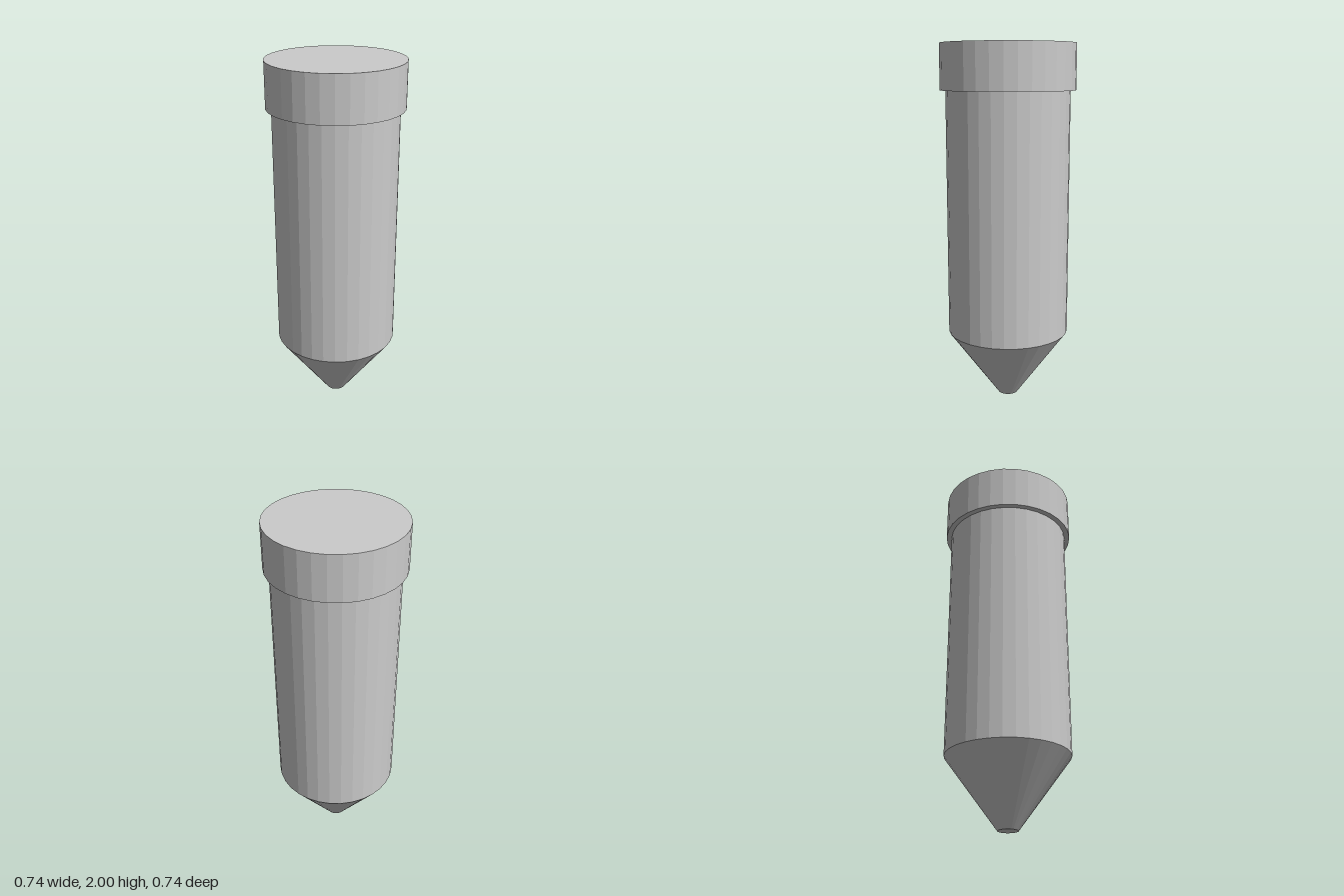
import * as THREE from 'three';

const SIDES = 32;
const material = new THREE.MeshStandardMaterial({ color: 0xcccccc, flatShading: true });

// Faceted round section standing between two heights
function section(name, bottomY, topY, bottomRadius, topRadius, open) {
  const height = topY - bottomY;
  const geometry = new THREE.CylinderGeometry(topRadius, bottomRadius, height, SIDES, 1, open);
  geometry.translate(0, bottomY + height / 2, 0);
  const mesh = new THREE.Mesh(geometry, material);
  mesh.name = name;
  return mesh;
}

export function createModel() {
  const model = new THREE.Group();
  model.name = 'pointedPeg';

  // Blunt-ended conical tip
  const tip = section('tip', 0, 0.387, 0.055, 0.341, true);
  const end = new THREE.Mesh(new THREE.CircleGeometry(0.055, SIDES).rotateX(Math.PI / 2), material);
  end.name = 'tipEnd';

  // Straight shaft, closed off by the tip and the cap
  const shaft = section('shaft', 0.387, 1.75, 0.341, 0.341, true);

  // Wider solid cap
  const cap = section('cap', 1.75, 2, 0.371, 0.371, false);

  model.add(tip, end, shaft, cap);
  return model;
}
